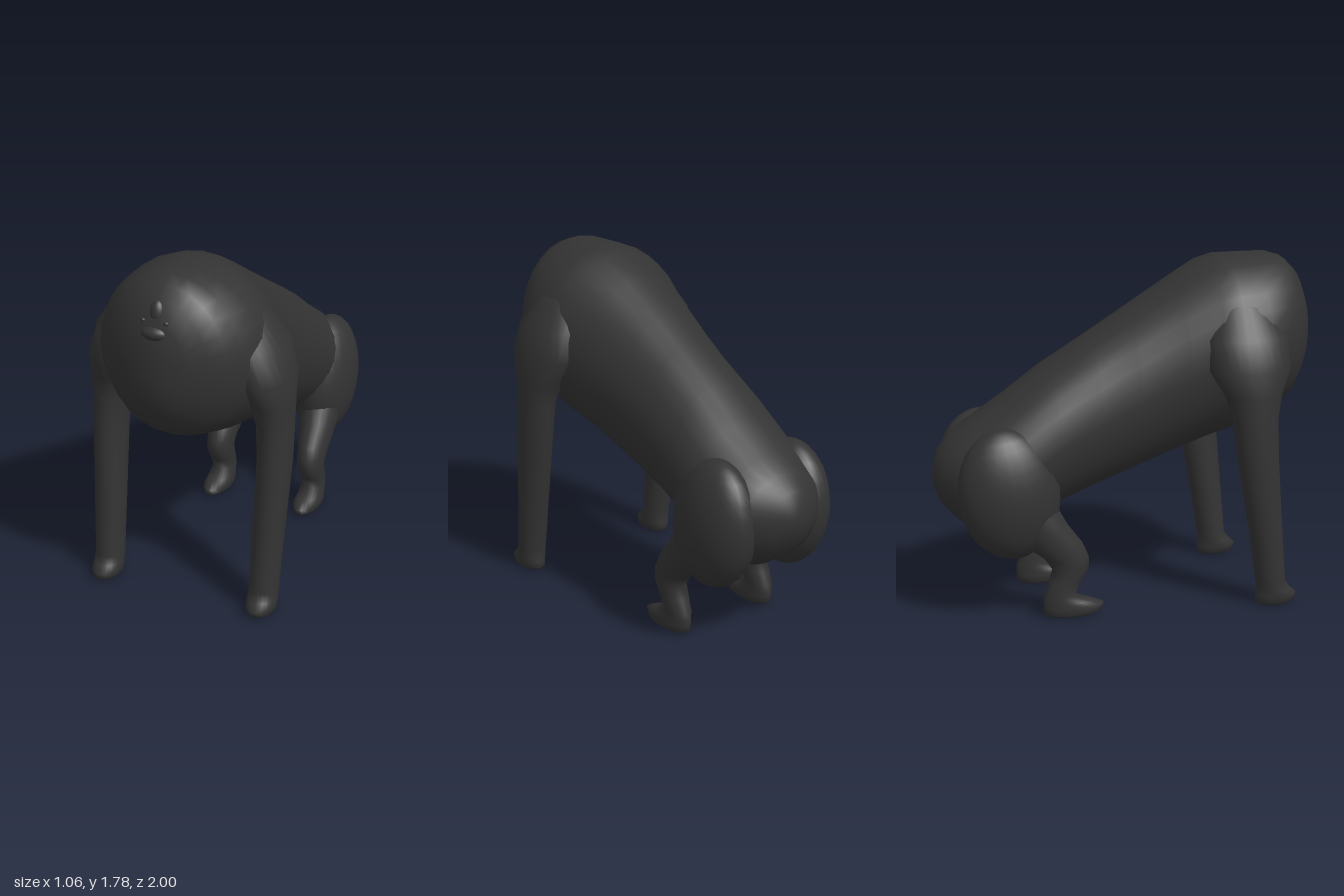
import * as THREE from 'three';

const SIDES = 28;

// Closed smooth skin over rings {c, u, v}; u x v points along the travel direction.
function loft(rings) {
  const pos = [], idx = [];
  for (const { c, u, v } of rings) {
    for (let j = 0; j < SIDES; j++) {
      const t = (j / SIDES) * Math.PI * 2;
      const p = c.clone().addScaledVector(u, Math.cos(t)).addScaledVector(v, Math.sin(t));
      pos.push(p.x, p.y, p.z);
    }
  }
  const n = rings.length;
  for (let i = 0; i < n - 1; i++) {
    for (let j = 0; j < SIDES; j++) {
      const k = (j + 1) % SIDES;
      const a = i * SIDES + j, b = i * SIDES + k, c = a + SIDES, d = b + SIDES;
      idx.push(a, b, c, b, d, c);
    }
  }
  const first = rings[0].c, last = rings[n - 1].c;
  pos.push(first.x, first.y, first.z, last.x, last.y, last.z);
  for (let j = 0; j < SIDES; j++) {
    const k = (j + 1) % SIDES, e = (n - 1) * SIDES;
    idx.push(n * SIDES, k, j, n * SIDES + 1, e + j, e + k);
  }
  const g = new THREE.BufferGeometry();
  g.setAttribute('position', new THREE.Float32BufferAttribute(pos, 3));
  g.setIndex(idx);
  g.computeVertexNormals();
  return g;
}

// Upright body section: z, top, bottom, half width
const bodyRing = ([z, top, bottom, w]) => ({
  c: new THREE.Vector3(0, (top + bottom) / 2, z),
  u: new THREE.Vector3(w, 0, 0),
  v: new THREE.Vector3(0, (top - bottom) / 2, 0),
});

// Level limb section: x, y, z, half width, half depth
const limbRing = (side) => ([x, y, z, rx, rz]) => ({
  c: new THREE.Vector3(x * side, y, z),
  u: new THREE.Vector3(0, 0, rz),
  v: new THREE.Vector3(rx, 0, 0),
});

const BODY = [
  [-1.0, 0.76, 0.67, 0.05], [-0.97, 0.86, 0.58, 0.14], [-0.9, 0.93, 0.5, 0.25],
  [-0.8, 1.0, 0.43, 0.32], [-0.6, 1.13, 0.42, 0.34], [-0.42, 1.26, 0.52, 0.33],
  [-0.2, 1.39, 0.6, 0.32], [0, 1.51, 0.67, 0.335], [0.25, 1.66, 0.76, 0.37],
  [0.42, 1.755, 0.82, 0.42], [0.52, 1.78, 0.85, 0.44], [0.66, 1.78, 0.9, 0.43],
  [0.78, 1.78, 0.94, 0.38], [0.86, 1.755, 0.99, 0.32], [0.92, 1.7, 1.07, 0.25],
  [0.97, 1.6, 1.15, 0.16], [0.995, 1.49, 1.26, 0.07],
];

const FRONT_LEG = [
  [0.43, 0, 0.69, 0.05, 0.08], [0.43, 0.015, 0.695, 0.07, 0.105],
  [0.43, 0.05, 0.7, 0.075, 0.11], [0.43, 0.08, 0.685, 0.075, 0.09],
  [0.43, 0.12, 0.67, 0.075, 0.078], [0.435, 0.4, 0.635, 0.08, 0.088],
  [0.445, 0.8, 0.58, 0.085, 0.11], [0.44, 1.0, 0.565, 0.09, 0.12],
  [0.42, 1.12, 0.56, 0.11, 0.15], [0.385, 1.25, 0.55, 0.14, 0.22],
  [0.33, 1.4, 0.55, 0.155, 0.22], [0.25, 1.55, 0.55, 0.13, 0.16],
  [0.18, 1.67, 0.55, 0.08, 0.09],
];

const BACK_LEG = [
  [0.27, 0, -0.36, 0.05, 0.12], [0.27, 0.015, -0.355, 0.068, 0.15],
  [0.27, 0.05, -0.35, 0.07, 0.16], [0.27, 0.075, -0.38, 0.065, 0.13],
  [0.27, 0.11, -0.425, 0.062, 0.08], [0.27, 0.18, -0.395, 0.066, 0.085],
  [0.27, 0.25, -0.365, 0.07, 0.095], [0.27, 0.31, -0.385, 0.075, 0.115],
  [0.265, 0.38, -0.445, 0.085, 0.145], [0.26, 0.48, -0.52, 0.1, 0.145],
  [0.25, 0.58, -0.58, 0.11, 0.15], [0.24, 0.7, -0.62, 0.1, 0.12],
];

export function createModel() {
  const model = new THREE.Group();
  const charcoal = new THREE.MeshStandardMaterial({ color: 0x333333 });
  charcoal.name = 'charcoal';

  const add = (name, geometry) => {
    const mesh = new THREE.Mesh(geometry, charcoal);
    mesh.name = name;
    model.add(mesh);
    return mesh;
  };
  const ellipsoid = (name, x, y, z, rx, ry, rz) => {
    const mesh = add(name, new THREE.SphereGeometry(1, 24, 16));
    mesh.position.set(x, y, z);
    mesh.scale.set(rx, ry, rz);
    return mesh;
  };

  add('body', loft(BODY.map(bodyRing)));

  // Small face on the front of the chest
  ellipsoid('muzzle', 0, 1.55, 0.945, 0.075, 0.04, 0.055);
  ellipsoid('noseBridge', 0, 1.62, 0.91, 0.045, 0.08, 0.05);

  for (const side of [1, -1]) {
    const label = side > 0 ? 'left' : 'right';
    add(label + 'FrontLeg', loft(FRONT_LEG.map(limbRing(side))));
    add(label + 'BackLeg', loft(BACK_LEG.map(limbRing(side))));
    // Rounded thigh and rump
    const haunch = ellipsoid(label + 'Haunch', side * 0.235, 0.66, -0.67, 0.165, 0.34, 0.26);
    haunch.rotation.x = -0.15;
    ellipsoid(label + 'Eye', side * 0.058, 1.605, 0.955, 0.014, 0.011, 0.012);
  }
  return model;
}
